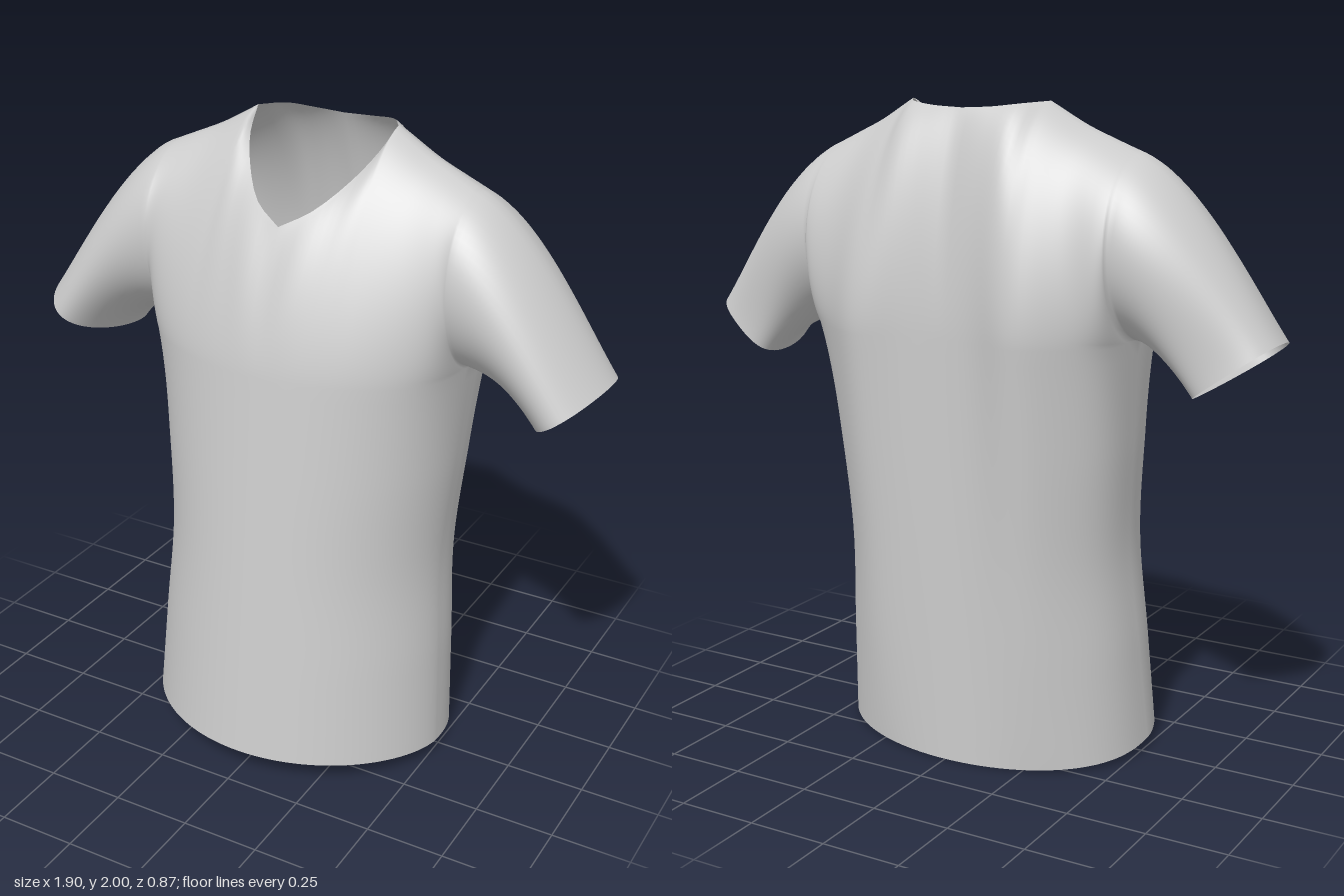
import * as THREE from 'three';
import { mergeVertices } from 'three/addons/utils/BufferGeometryUtils.js';

const V = (x, y, z) => new THREE.Vector3(x, y, z);
const mix = THREE.MathUtils.lerp;
const curve = (...p) => new THREE.CatmullRomCurve3(p.map((a) => V(...a)));

const ARMPIT = 1.32;
const COLS = 72, LOW = 28, HIGH = 28, SLEEVE = 26;

// Left half of the neck opening, shoulder line and side seam
const neckFront = curve([0, 1.74, 0.16], [0.09, 1.79, 0.12], [0.17, 1.87, 0.03], [0.215, 1.94, -0.05], [0.235, 2, -0.13]);
const neckBack = curve([0, 1.98, -0.24], [0.1, 1.985, -0.235], [0.18, 1.994, -0.21], [0.235, 2, -0.13]);
const shoulder = curve([0.235, 2, -0.13], [0.35, 1.935, -0.12], [0.44, 1.895, -0.11], [0.51, 1.865, -0.1]);
const side = curve([0.507, 0, 0], [0.487, 0.33, 0], [0.466, 0.75, 0], [0.488, 1.08, 0], [0.51, ARMPIT, 0]);

// Body below the armpits: a = 0 at the centre, 1 at the side seam; v runs from hem to armpit
function lower(a, v, front) {
  const c = a === 1 ? 0 : Math.cos(a * Math.PI / 2);
  const x = side.getPoint(v).x * Math.sin(a * Math.PI / 2);
  const seam = mix(0.03, -0.1, v);
  // Cloth drawn out beside the armpit
  const pull = 0.05 * 6.75 * v ** 7 * a ** 4 * (1 - a * a);
  let z;
  if (front) z = mix(seam, mix(0.44, 0.306, v), c ** mix(1.18, 1, v)) + pull;
  else {
    z = mix(seam, mix(-0.36, -0.37, v), c ** mix(0.8, 0.6, v)) - pull;
    // Shoulder blade drape
    z -= 0.075 * v ** 0.9 * Math.exp(-(((x - 0.27) / 0.13) ** 2)) * (1 - a ** 8);
  }
  return V(x, mix(0.0875 * (z + 0.36), ARMPIT, v), z);
}

// Chest and upper back: v runs from armpit height to the neckline or shoulder line
function upper(a, v, front) {
  const s = front ? 1 : -1, m = Math.min(1, 3 * a), e = a ** 3, edge = a ** 6;
  const p0 = lower(a, 1, front);
  const p3 = a * 3 <= 1 ? (front ? neckFront : neckBack).getPoint(m) : shoulder.getPoint(Math.min(1, (a * 3 - 1) / 2));
  // Leave the lower body along its own slope, except at the armhole
  const below = lower(a, 0.97, front);
  const run = mix(0.3 * (p3.y - p0.y), 0.06, edge);
  const slope = (p0.z - below.z) / (p0.y - below.y);
  const p1 = V(p0.x, p0.y + run, p0.z + slope * run * (1 - edge) + s * (front ? 0.27 : 0.29) * edge);
  const p2 = V(p3.x, p3.y - 0.14 + 0.09 * m, p3.z + s * (0.07 + 0.12 * m + 0.09 * e));
  return new THREE.CubicBezierCurve3(p0, p1, p2, p3).getPoint(v);
}

// Sleeve: q runs round the armhole (armpit, front, top, back), t from armhole to cuff
function sleeve(t, q) {
  const front = q <= 0.5;
  const p0 = upper(1, front ? q * 2 : 2 - q * 2, front);
  const c = Math.cos(q * 2 * Math.PI), n = Math.sin(q * 2 * Math.PI), top = (1 - c) / 2;
  const p3 = V(0.84 - 0.11 * c, 1.27 - 0.08 * c, -0.07 + 0.18 * n - 0.07 * c * c - 0.03 * c);
  const p1 = p0.clone().add(V(0.07 + 0.09 * top, mix(-0.005, -0.06, top), 0.01 * n));
  const k = 0.09 + 0.11 * top;
  const p2 = p3.clone().add(V(-0.59 * k, 0.81 * k, 0));
  return new THREE.CubicBezierCurve3(p0, p1, p2, p3).getPoint(t);
}

export function createModel() {
  const pos = [], index = [];

  // Adds a grid of quads over a surface rule; returns the end of its index range
  function grid(fn, nu, nv, flip) {
    const base = pos.length / 3;
    for (let j = 0; j <= nv; j++)
      for (let i = 0; i <= nu; i++) pos.push(...fn(i / nu, j / nv).toArray());
    for (let j = 0; j < nv; j++)
      for (let i = 0; i < nu; i++) {
        const a = base + j * (nu + 1) + i, b = a + 1, d = a + nu + 1, c = d + 1;
        index.push(...(flip ? [a, c, b, a, d, c] : [a, b, c, a, c, d]));
      }
    return index.length;
  }
  const mirrored = (p, sign) => { p.x *= sign; return p; };

  // Front and back of the body
  for (const front of [true, false])
    for (const [rule, rows] of [[lower, LOW], [upper, HIGH]])
      grid((u, v) => {
        const a = Math.round((u * 2 - 1) * COLS) / COLS;
        return mirrored(rule(Math.abs(a), v, front), Math.sign(a) || 1);
      }, COLS, rows, !front);
  const bodyEnd = index.length;
  // Sleeves
  const leftEnd = grid((t, q) => sleeve(t, q), SLEEVE, HIGH * 2, false);
  const rightEnd = grid((t, q) => mirrored(sleeve(t, q), -1), SLEEVE, HIGH * 2, true);

  // Weld the seams so that shading runs smoothly across them
  const raw = new THREE.BufferGeometry();
  raw.setAttribute('position', new THREE.Float32BufferAttribute(pos, 3));
  raw.setIndex(index);
  const cloth = mergeVertices(raw, 1e-4);
  cloth.computeVertexNormals();
  const welded = Array.from(cloth.index.array);

  const fabric = new THREE.MeshStandardMaterial({ color: 0xcccccc, side: THREE.DoubleSide });
  fabric.name = 'light grey fabric';

  const shirt = new THREE.Group();
  shirt.name = 'shirt';
  for (const [name, from, to] of [['body', 0, bodyEnd], ['leftSleeve', bodyEnd, leftEnd], ['rightSleeve', leftEnd, rightEnd]]) {
    const part = new THREE.BufferGeometry();
    part.setAttribute('position', cloth.getAttribute('position'));
    part.setAttribute('normal', cloth.getAttribute('normal'));
    part.setIndex(welded.slice(from, to));
    const mesh = new THREE.Mesh(part, fabric);
    mesh.name = name;
    shirt.add(mesh);
  }
  return shirt;
}
